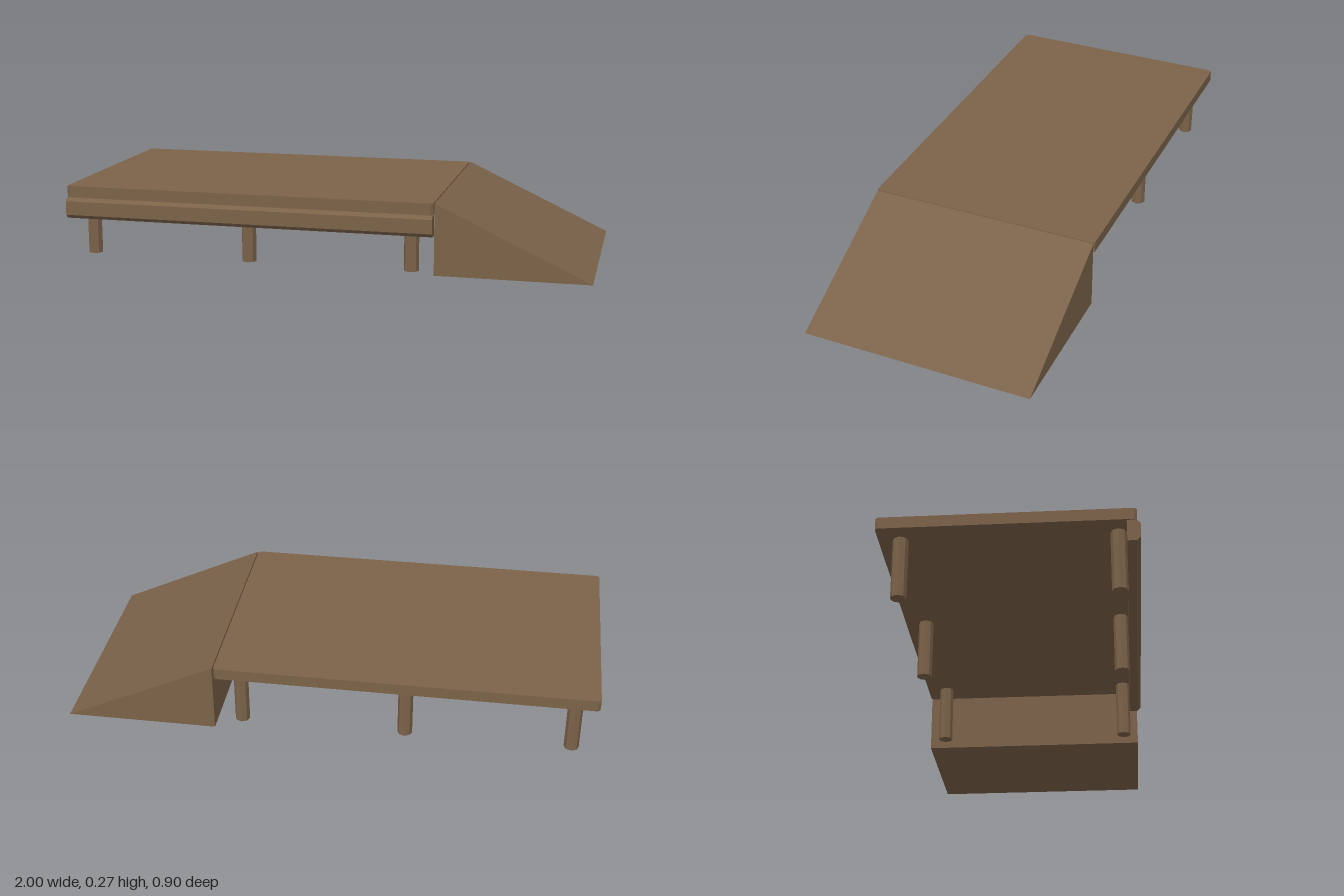
import * as THREE from 'three';

export function createModel() {
  const group = new THREE.Group();
  const wood = new THREE.MeshStandardMaterial({ color: 0x7b6249, flatShading: true });
  wood.name = 'brown wood';

  const add = (name, geometry, x = 0, y = 0, z = 0) => {
    const mesh = new THREE.Mesh(geometry, wood);
    mesh.name = name;
    mesh.position.set(x, y, z);
    group.add(mesh);
    return mesh;
  };
  const extrude = (points, depth) => new THREE.ExtrudeGeometry(
    new THREE.Shape(points.map(([a, b]) => new THREE.Vector2(a, b))),
    { depth, bevelEnabled: false });

  // Deck slab with small chamfered corners, outlined in plan (x, -z)
  const [l, r, f, b, c] = [-1, 0.424, -0.438, 0.447, 0.01];
  const deck = extrude([
    [l + c, f], [r - c, f], [r, f + c], [r, b - c],
    [r - c, b], [l + c, b], [l, b - c], [l, f + c],
  ], 0.043);
  deck.rotateX(-Math.PI / 2);
  add('deck', deck, 0, 0.225, 0);

  // Solid wedge ramp at the left end
  add('ramp', extrude([[0.428, 0], [1, 0], [0.428, 0.268]], 0.878), 0, 0, -0.445);

  // Bumper rail along the front, chamfered on its outer edges (profile in -z, y)
  const rail = extrude([
    [-0.449, 0.157], [-0.435, 0.143], [-0.403, 0.143],
    [-0.403, 0.222], [-0.435, 0.222], [-0.449, 0.21],
  ], 1.422);
  rail.rotateY(Math.PI / 2);
  add('bumperRail', rail, -1, 0, 0);

  // Two rows of round posts
  const post = new THREE.CylinderGeometry(0.028, 0.028, 0.226, 8);
  for (const x of [-0.915, -0.29, 0.335]) {
    add('frontPost', post, x, 0.113, 0.375);
    add('backPost', post, x, 0.113, -0.37);
  }
  return group;
}
